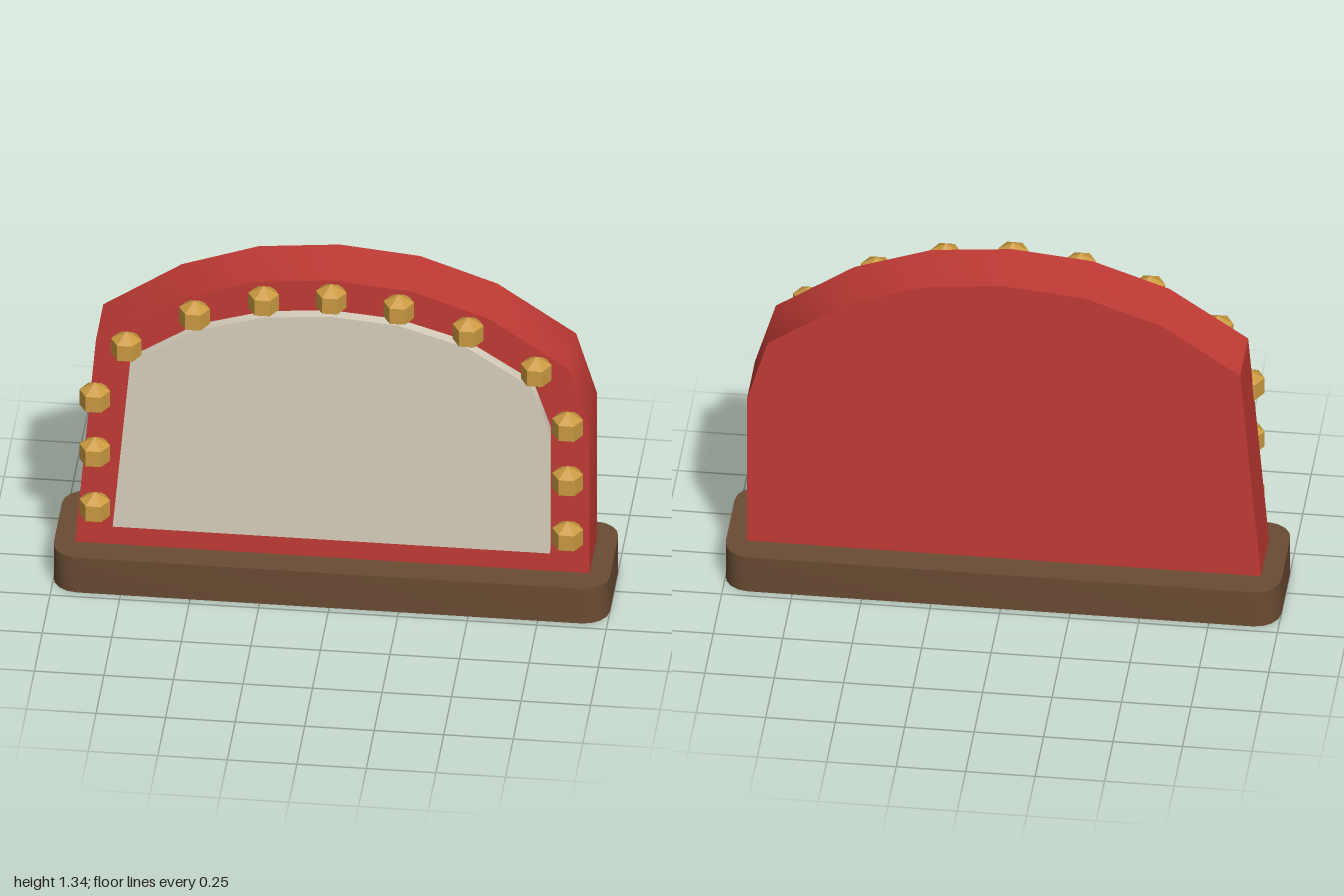
import * as THREE from 'three';
import { toCreasedNormals } from 'three/addons/utils/BufferGeometryUtils.js';

const mat = (name, color, flatShading = false) => {
  const m = new THREE.MeshStandardMaterial({ color, flatShading });
  m.name = name;
  return m;
};

// Extrude an outline along z with sharp corners only where it turns steeply
function slab(shape, depth, curveSegments = 1) {
  const geo = new THREE.ExtrudeGeometry(shape, { depth, bevelEnabled: false, curveSegments });
  return toCreasedNormals(geo, 0.73);
}

const outline = (points) => new THREE.Shape(points.map(([x, y]) => new THREE.Vector2(x, y)));

// Rounded rectangle with a quarter arc at each corner
function roundedRect(w, h, r) {
  const s = new THREE.Shape();
  s.absarc(w - r, h - r, r, 0, Math.PI / 2);
  s.absarc(r - w, h - r, r, Math.PI / 2, Math.PI);
  s.absarc(r - w, r - h, r, Math.PI, Math.PI * 1.5);
  s.absarc(w - r, r - h, r, Math.PI * 1.5, Math.PI * 2);
  s.closePath();
  return s;
}

export function createModel() {
  const group = new THREE.Group();
  const wood = mat('brown wood', 0x6b4c33);
  const red = mat('red paint', 0xc23b35);
  const cream = mat('cream panel', 0xd9d0bd);
  const gold = mat('gold bulb', 0xcb9a41, true);

  const add = (name, geometry, material, x = 0, y = 0, z = 0) => {
    const mesh = new THREE.Mesh(geometry, material);
    mesh.name = name;
    mesh.position.set(x, y, z);
    group.add(mesh);
    return mesh;
  };

  // Plinth
  const base = slab(roundedRect(1, 0.222, 0.092), 0.148, 2);
  base.rotateX(-Math.PI / 2);
  add('base', base, wood);

  // Arched board; its left shoulder has one more corner than its right
  const board = outline([
    [-0.925, 0.148], [0.925, 0.148], [0.925, 0.765], [0.85, 1.013], [0.567, 1.205],
    [0.29, 1.302], [0, 1.33], [-0.29, 1.302], [-0.567, 1.205], [-0.85, 1.013],
  ]);
  add('board', slab(board, 0.236), red, 0, 0, -0.118);

  // Raised panel on the front
  const panel = outline([
    [-0.785, 0.25], [0.787, 0.25], [0.787, 0.76], [0.722, 0.955], [0.487, 1.107],
    [0.24, 1.182], [0, 1.202], [-0.24, 1.182], [-0.487, 1.107], [-0.722, 0.955],
  ]);
  add('panel', slab(panel, 0.05), cream, 0, 0, 0.111);

  // Faceted bulbs around the border
  const bulb = new THREE.SphereGeometry(0.064, 6, 3);
  const spots = [
    [0.85, 0.323], [0.85, 0.558], [0.85, 0.79], [0.737, 1.016], [0.492, 1.167], [0.243, 1.246],
  ];
  for (const [x, y] of spots) {
    add('leftBulb', bulb, gold, x, y, 0.152);
    add('rightBulb', bulb, gold, -x, y, 0.152);
  }
  add('topBulb', bulb, gold, 0, 1.272, 0.152);

  return group;
}
